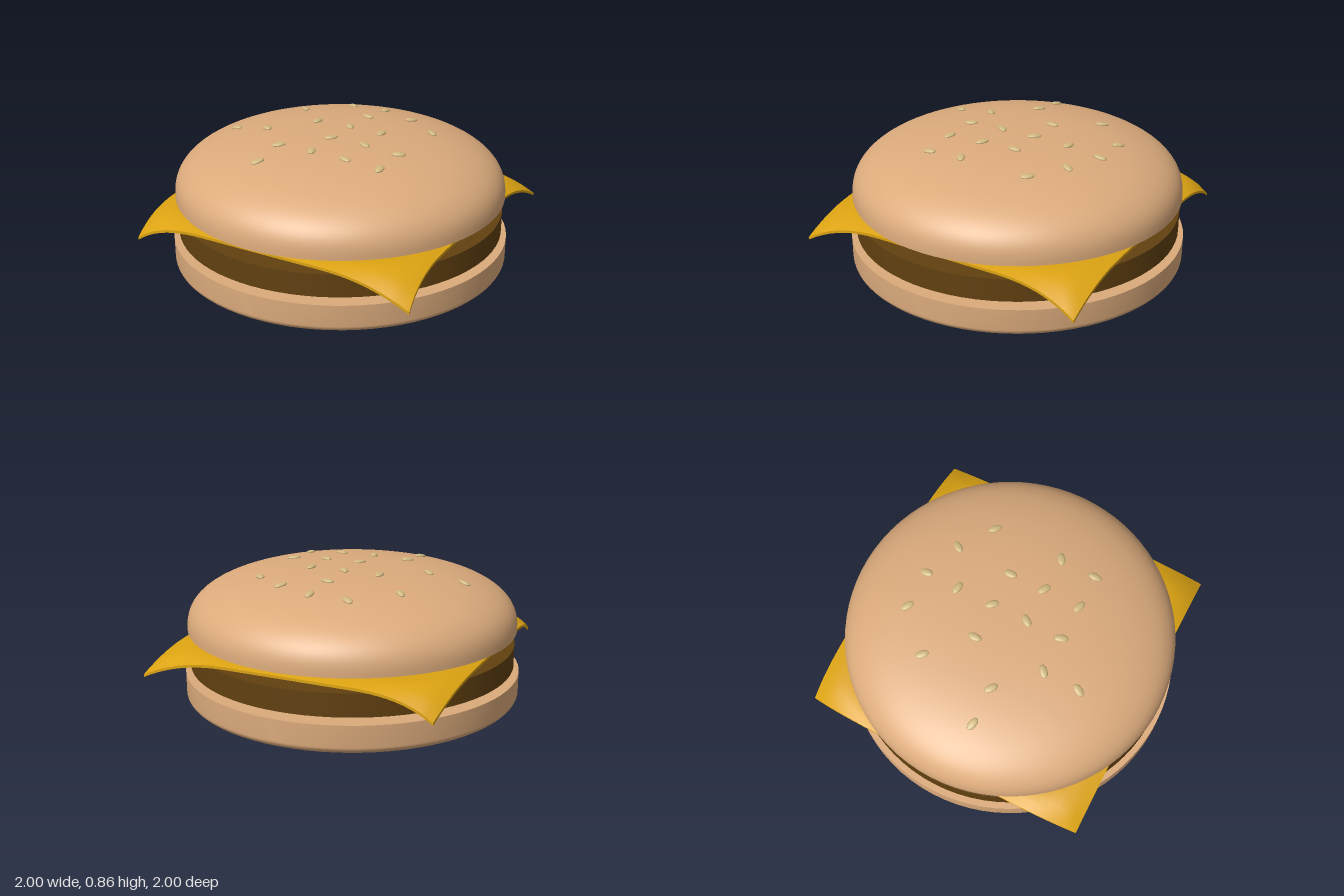
import * as THREE from 'three';
import { toCreasedNormals } from 'three/addons/utils/BufferGeometryUtils.js';

const BUN = 0xdcab7c, PATTY = 0x614010, CHEESE = 0xdca312, SEED = 0xd0b880;
const material = (color) => new THREE.MeshStandardMaterial({ color });

// Rounded dome height (0..1) at a fraction s of the full radius
const dome = (s) => Math.pow(Math.max(0, 1 - Math.pow(s, 2.5)), 0.381);
const TOP = { radius: 0.98, y: 0.505, height: 0.347 };
const topHeight = (r) => TOP.y + TOP.height * dome(r / TOP.radius);

function addMesh(group, name, geometry, color) {
  const mesh = new THREE.Mesh(geometry, material(color));
  mesh.name = name;
  group.add(mesh);
  return mesh;
}

const latheGeometry = (points) => toCreasedNormals(new THREE.LatheGeometry(points, 80), 0.7);

// Radius fractions from centre to rim, crowded towards the rim
const fractions = Array.from({ length: 25 }, (_, i) => 1 - Math.pow(1 - i / 24, 2.6));

function topBun() {
  const points = [new THREE.Vector2(0, TOP.y)];
  for (const s of [...fractions].reverse()) points.push(new THREE.Vector2(s * TOP.radius, topHeight(s * TOP.radius)));
  return latheGeometry(points);
}

function bottomBun() {
  const points = fractions.map((s) => new THREE.Vector2(s, 0.13 - 0.125 * dome(s)));
  points.push(new THREE.Vector2(1, 0.25), new THREE.Vector2(0, 0.25));
  return latheGeometry(points);
}

// Thin square slice whose edges sag slightly and whose corners droop
function cheeseSlice() {
  const half = 0.875;
  const geometry = new THREE.BoxGeometry(half * 2, 0.016, half * 2, 36, 1, 36);
  const p = geometry.attributes.position;
  for (let i = 0; i < p.count; i++) {
    const x = p.getX(i), y = p.getY(i), z = p.getZ(i);
    const corner = Math.max(0, Math.hypot(x, z) - 0.95);
    const droop = 1.45 * corner * corner;
    const edge = Math.max(0, Math.max(Math.abs(x), Math.abs(z)) - 0.72) / (half - 0.72);
    const lean = 0.04 * Math.min(1, droop / 0.12);
    p.setXYZ(i, x - 0.012 + lean, 0.462 + y - 0.022 * edge * edge - droop, z - 0.005);
  }
  return toCreasedNormals(geometry, 0.7);
}

// Sesame seeds: x, z, heading in degrees (from +x towards +z)
const SEEDS = [
  [-0.22, -0.55, 35], [0.01, -0.55, 88], [0.235, -0.465, -57],
  [-0.44, -0.33, 48], [0, -0.34, 10], [0.44, -0.33, 42],
  [-0.22, -0.11, 90], [0, -0.115, 48], [0.215, -0.11, 90],
  [-0.66, 0.11, 14], [-0.44, 0.11, 38], [0, 0.105, -52],
  [0.22, 0.105, 30], [0.44, 0.105, -33], [-0.22, 0.325, -42],
  [0, 0.325, 68], [0.22, 0.33, 18], [0.435, 0.325, 88], [-0.22, 0.545, -60],
];

function sesameSeeds() {
  const group = new THREE.Group();
  group.name = 'sesameSeeds';
  const geometry = new THREE.SphereGeometry(1, 16, 10).scale(0.041, 0.012, 0.023);
  const up = new THREE.Vector3(0, 1, 0);
  for (const [x, z, degrees] of SEEDS) {
    const r = Math.hypot(x, z);
    const slope = (topHeight(r + 0.01) - topHeight(r - 0.01)) / 0.02;
    const normal = new THREE.Vector3(-slope * x / r, 1, -slope * z / r).normalize();
    const seed = addMesh(group, 'sesameSeed', geometry, SEED);
    seed.position.set(x, topHeight(r) + 0.003, z);
    seed.quaternion.setFromUnitVectors(up, normal);
    seed.rotateY(-THREE.MathUtils.degToRad(degrees));
  }
  return group;
}

export function createModel() {
  const model = new THREE.Group();
  model.name = 'cheeseburger';
  addMesh(model, 'bottomBun', bottomBun(), BUN);
  addMesh(model, 'patty', new THREE.CylinderGeometry(0.968, 0.968, 0.135, 80), PATTY).position.y = 0.35;
  addMesh(model, 'cheeseSlice', cheeseSlice(), CHEESE);
  addMesh(model, 'topBun', topBun(), BUN);
  model.add(sesameSeeds());
  return model;
}
